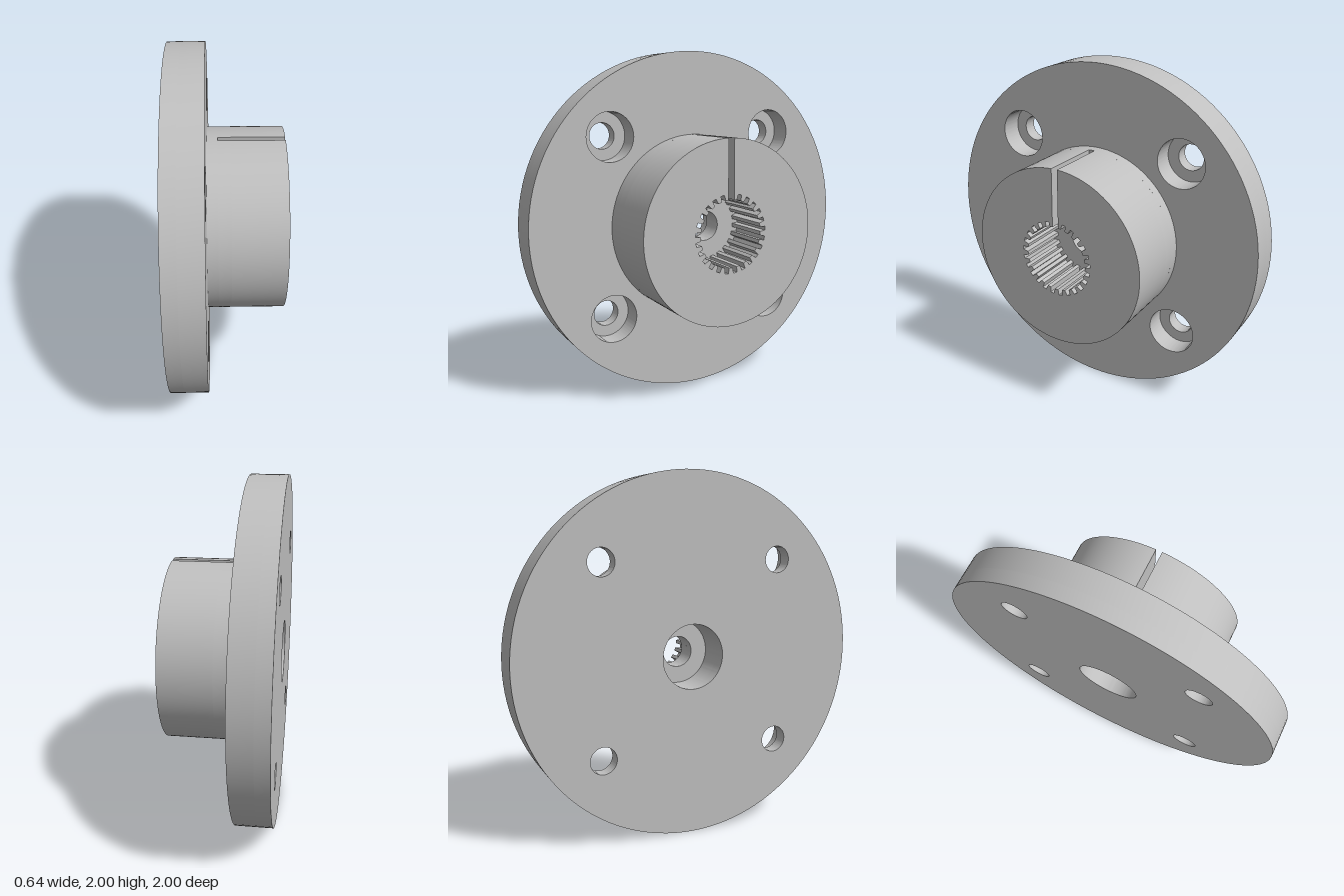
import * as THREE from 'three';
import { toCreasedNormals } from 'three/addons/utils/BufferGeometryUtils.js';

const TOP = Math.PI / 2;
const FLANGE_R = 1, HUB_R = 0.525, BORE_R = 0.087, BACK_BORE_R = 0.18;
const SLOT = 0.018; // half width of the clamping slot
const TEETH = 25, ROOT_R = 0.222, TIP_R = 0.19;

const polar = (r, a) => new THREE.Vector2(r * Math.cos(a), r * Math.sin(a));

// Points along an arc, from angle a to angle b
function arc(r, a, b, n) {
  return Array.from({ length: n + 1 }, (_, i) => polar(r, a + ((b - a) * i) / n));
}

function disc(radius, holes) {
  const shape = new THREE.Shape().absarc(0, 0, radius, 0, Math.PI * 2);
  for (const [x, y, r] of holes) {
    shape.holes.push(new THREE.Path().absarc(x, y, r, 0, Math.PI * 2, true));
  }
  return shape;
}

// Hub ring cut open at the top by the slot; inner runs clockwise from slot to slot
function slottedRing(inner) {
  const a = Math.asin(SLOT / HUB_R);
  const outer = arc(HUB_R, TOP + a, TOP - a + Math.PI * 2, 120);
  return new THREE.Shape([...outer, ...inner]);
}

function clockwiseInner(r) {
  const a = Math.asin(SLOT / r);
  return arc(r, TOP - a, TOP + a - Math.PI * 2, 48);
}

// Grooves of the splined socket; the one at the top is swallowed by the slot
function splineInner() {
  const pitch = (Math.PI * 2) / TEETH;
  const edge = Math.asin(SLOT / TIP_R);
  const points = [polar(TIP_R, TOP - edge)];
  for (let k = 1; k < TEETH; k++) {
    const a = TOP - k * pitch;
    points.push(
      polar(TIP_R, a + 0.28 * pitch), polar(ROOT_R, a + 0.2 * pitch),
      polar(ROOT_R, a - 0.2 * pitch), polar(TIP_R, a - 0.28 * pitch),
    );
  }
  points.push(polar(TIP_R, TOP + edge));
  return points;
}

export function createModel() {
  const group = new THREE.Group();
  const steel = new THREE.MeshStandardMaterial({ color: 0xbfbfbf });
  steel.name = 'grey metal';

  // Extrudes a profile along x between two positions
  function slab(name, shape, x0, x1) {
    const extruded = new THREE.ExtrudeGeometry(shape, {
      depth: x1 - x0, bevelEnabled: false, curveSegments: 60,
    });
    extruded.rotateY(Math.PI / 2);
    const mesh = new THREE.Mesh(toCreasedNormals(extruded, 0.35), steel);
    mesh.name = name;
    mesh.position.set(x0, 1, 0);
    group.add(mesh);
  }

  const boltHoles = (r) =>
    [[1, 1], [-1, 1], [-1, -1], [1, -1]].map(([x, y]) => [x * 0.522, y * 0.522, r]);

  // Flange: narrow bolt holes at the back, counterbores at the front
  slab('flangeBack', disc(FLANGE_R, [[0, 0, BACK_BORE_R], ...boltHoles(0.075)]), -0.32, -0.24);
  slab('flangeFront', disc(FLANGE_R, [[0, 0, BACK_BORE_R], ...boltHoles(0.14)]), -0.24, -0.11);

  // Hub: solid web, slotted web, then the splined socket
  slab('hubBase', disc(HUB_R, [[0, 0, BORE_R]]), -0.11, -0.05);
  slab('hubSlottedWeb', slottedRing(clockwiseInner(BORE_R)), -0.05, 0.02);
  slab('hubSplinedSocket', slottedRing(splineInner()), 0.02, 0.32);

  return group;
}
